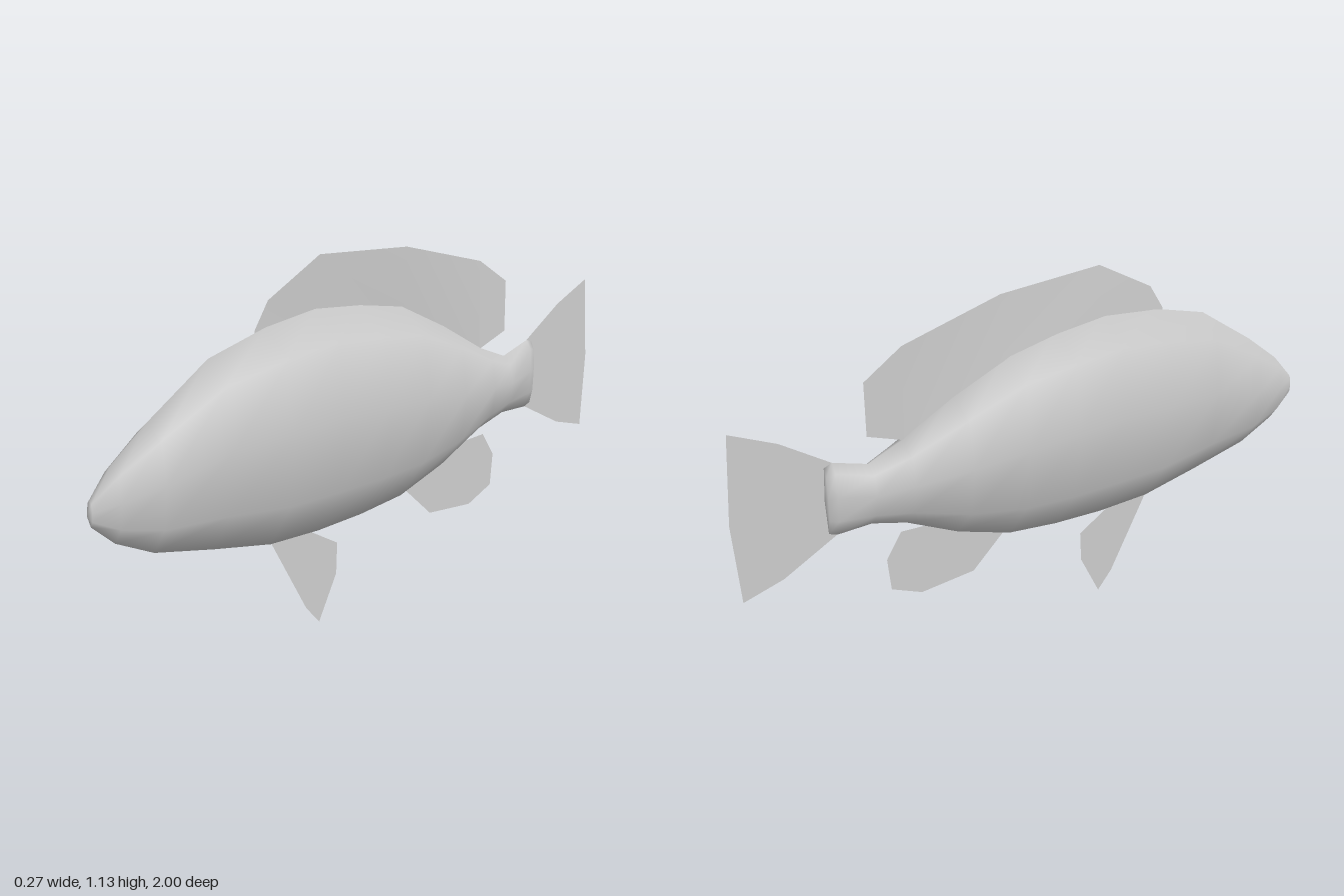
import * as THREE from 'three';

// Body stations, nose to tail: z, back height, keel height, half width
const STATIONS = [
  [0.99, 0.59, 0.515, 0.012],
  [0.92, 0.67, 0.45, 0.043],
  [0.8, 0.765, 0.39, 0.075],
  [0.6, 0.9, 0.345, 0.103],
  [0.4, 0.955, 0.305, 0.123],
  [0.22, 0.98, 0.3, 0.13],
  [0.05, 0.965, 0.308, 0.135],
  [-0.12, 0.935, 0.328, 0.13],
  [-0.3, 0.845, 0.39, 0.108],
  [-0.47, 0.745, 0.475, 0.072],
  [-0.58, 0.7, 0.507, 0.045],
  [-0.69, 0.735, 0.505, 0.025],
  [-0.715, 0.725, 0.515, 0.015],
];

// Eight-sided cross-section: width factor, height factor
const SECTION = [
  [0, 1], [0.76, 0.88], [1, 0.56], [0.79, 0.22],
  [0, 0], [-0.79, 0.22], [-1, 0.56], [-0.76, 0.88],
];

function bodyGeometry() {
  const n = SECTION.length;
  const pos = [];
  const idx = [];
  for (const [z, top, bottom, w] of STATIONS) {
    for (const [fx, fy] of SECTION) pos.push(fx * w, bottom + (top - bottom) * fy, z);
  }
  const last = (STATIONS.length - 1) * n;
  const nose = pos.length / 3;
  pos.push(0, 0.55, 1, 0, 0.62, -0.72);
  for (let j = 0; j < n; j++) {
    const k = (j + 1) % n;
    for (let i = 0; i < last; i += n) {
      idx.push(i + j, i + k, i + n + j, i + k, i + n + k, i + n + j);
    }
    idx.push(nose, k, j, nose + 1, last + j, last + k);
  }
  const geo = new THREE.BufferGeometry();
  geo.setAttribute('position', new THREE.Float32BufferAttribute(pos, 3));
  geo.setIndex(idx);
  geo.computeVertexNormals();
  return geo;
}

// Flat fin in the middle plane from a (z, y) outline
function finGeometry(outline) {
  const shape = new THREE.Shape(outline.map(([z, y]) => new THREE.Vector2(-z, y)));
  return new THREE.ShapeGeometry(shape).rotateY(Math.PI / 2);
}

// Back fin as a strip of stations: z, base height, tip height, sideways bend of the base
function dorsalGeometry() {
  const rows = [
    [0.44, 0.93, 0.95, 0], [0.39, 0.93, 1.03, -0.005], [0.2, 0.95, 1.135, -0.01],
    [-0.14, 0.9, 1.115, -0.016], [-0.46, 0.73, 1.03, 0], [-0.47, 0.745, 1.023, 0],
    [-0.58, 0.785, 0.95, 0],
  ];
  const pos = [];
  const idx = [];
  rows.forEach(([z, base, tip, bend], i) => {
    pos.push(bend, base, z, 0, tip, z);
    const a = i * 2;
    if (i < rows.length - 1) idx.push(a, a + 2, a + 1, a + 1, a + 2, a + 3);
  });
  const geo = new THREE.BufferGeometry();
  geo.setAttribute('position', new THREE.Float32BufferAttribute(pos, 3));
  geo.setIndex(idx);
  geo.computeVertexNormals();
  return geo;
}

export function createModel() {
  const group = new THREE.Group();
  group.name = 'fish';
  const skin = new THREE.MeshStandardMaterial({ color: 0xcccccc, side: THREE.DoubleSide });
  skin.name = 'paleGrey';

  const add = (name, geo) => {
    const mesh = new THREE.Mesh(geo, skin);
    mesh.name = name;
    group.add(mesh);
  };

  add('body', bodyGeometry());
  add('dorsalFin', dorsalGeometry());
  add('tailFin', finGeometry([
    [-0.69, 0.735], [-0.84, 0.835], [-0.98, 0.9], [-1, 0.63],
    [-0.985, 0.38], [-0.86, 0.415], [-0.69, 0.505],
  ]));
  add('analFin', finGeometry([
    [-0.14, 0.34], [-0.25, 0.235], [-0.43, 0.22], [-0.53, 0.265],
    [-0.54, 0.37], [-0.49, 0.45], [-0.4, 0.445], [-0.28, 0.42],
  ]));
  add('pelvicFin', finGeometry([
    [0.4, 0.31], [0.27, 0.06], [0.22, 0], [0.15, 0.14], [0.145, 0.24], [0.26, 0.31],
  ]));
  return group;
}
